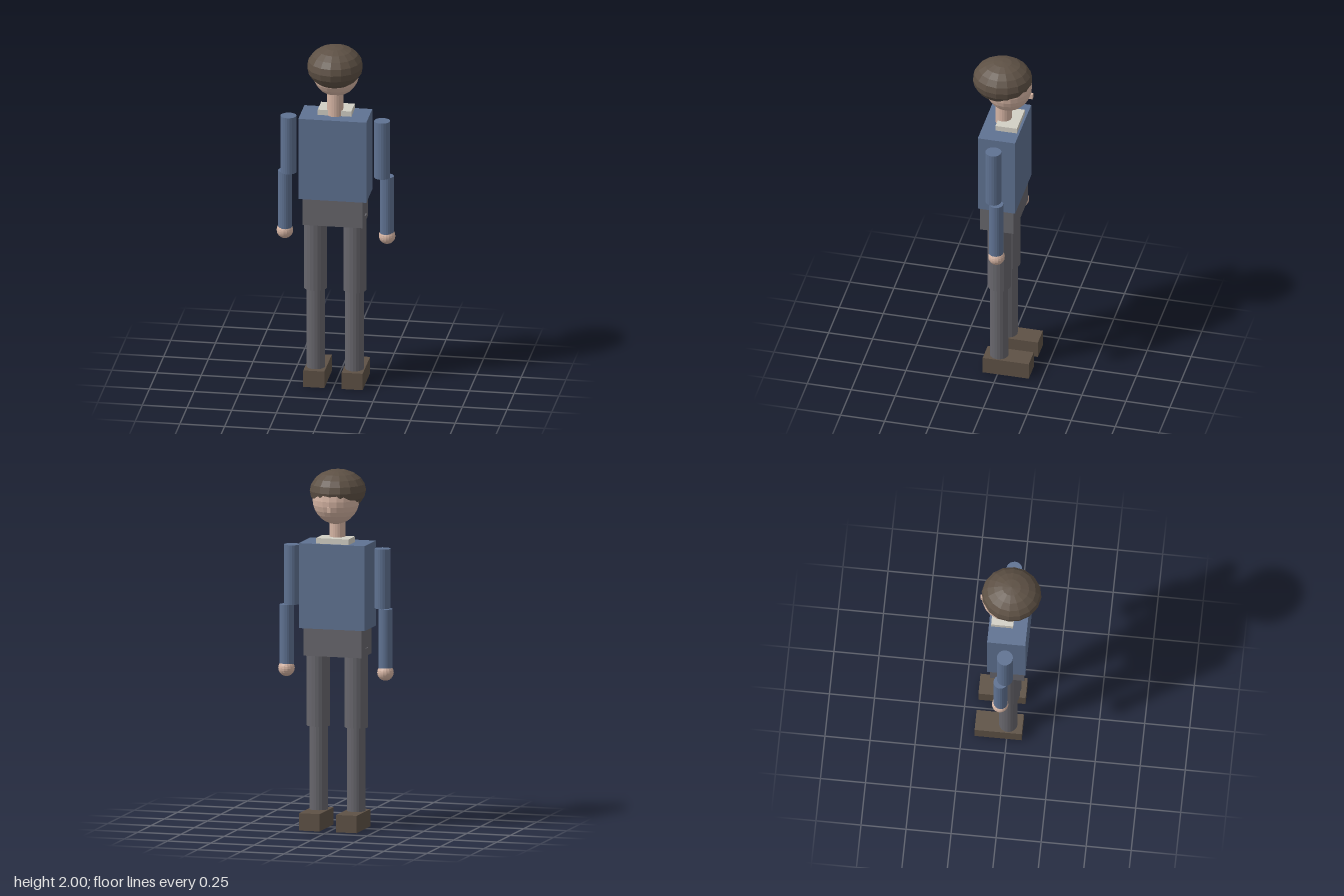
import * as THREE from 'three';

export function createModel() {
  const model = new THREE.Group();
  model.name = 'standingFigure';

  const paint = (name, color) => {
    const m = new THREE.MeshStandardMaterial({ color, flatShading: true });
    m.name = name;
    return m;
  };
  const blue = paint('shirtBlue', 0x5f7292);
  const grey = paint('trouserGrey', 0x67666c);
  const brown = paint('darkBrown', 0x5e5145);
  const skin = paint('skin', 0xd6b5a4);
  const cream = paint('collarCream', 0xd2cfc5);

  const add = (name, geometry, material, x, y, z) => {
    const mesh = new THREE.Mesh(geometry, material);
    mesh.name = name;
    mesh.position.set(x, y, z);
    model.add(mesh);
    return mesh;
  };
  // Boxes and upright cylinders are given by their bottom and top heights
  const box = (name, mat, w, d, y0, y1, x, z) =>
    add(name, new THREE.BoxGeometry(w, y1 - y0, d), mat, x, (y0 + y1) / 2, z);
  const limb = (name, mat, r, y0, y1, x, z) =>
    add(name, new THREE.CylinderGeometry(r, r, y1 - y0, 20), mat, x, (y0 + y1) / 2, z);
  const ball = (name, mat, rx, ry, rz, x, y, z, ws, hs) =>
    add(name, new THREE.SphereGeometry(1, ws, hs), mat, x, y, z).scale.set(rx, ry, rz);

  // Trunk
  box('torso', blue, 0.38, 0.212, 1.12, 1.595, 0, 0);
  box('pelvis', grey, 0.334, 0.19, 0.965, 1.12, 0, 0.003);
  box('collar', cream, 0.188, 0.122, 1.59, 1.626, 0, -0.032);

  // Head, looking towards -z
  limb('neck', skin, 0.045, 1.595, 1.73, 0, 0.004);
  ball('head', skin, 0.13, 0.138, 0.13, 0, 1.838, -0.024, 20, 14);
  ball('hair', brown, 0.155, 0.117, 0.166, 0, 1.883, 0.011, 16, 10);
  box('nose', skin, 0.022, 0.03, 1.78, 1.808, 0, -0.146);

  // Mirrored limbs
  for (const [side, s] of [['left', 1], ['right', -1]]) {
    limb(side + 'UpperArm', blue, 0.0445, 1.237, 1.57, s * 0.262, 0);
    limb(side + 'Forearm', blue, 0.039, 0.9, 1.237, s * 0.285, -0.022);
    ball(side + 'Hand', skin, 0.046, 0.046, 0.046, s * 0.286, 0.882, -0.024, 16, 12);
    limb(side + 'Thigh', grey, 0.065, 0.565, 1.01, s * 0.11, 0.003);
    limb(side + 'Shin', grey, 0.052, 0.09, 0.58, s * 0.108, 0.004);
    box(side + 'Shoe', brown, 0.118, 0.262, 0, 0.097, s * 0.107, -0.047);
  }
  return model;
}
